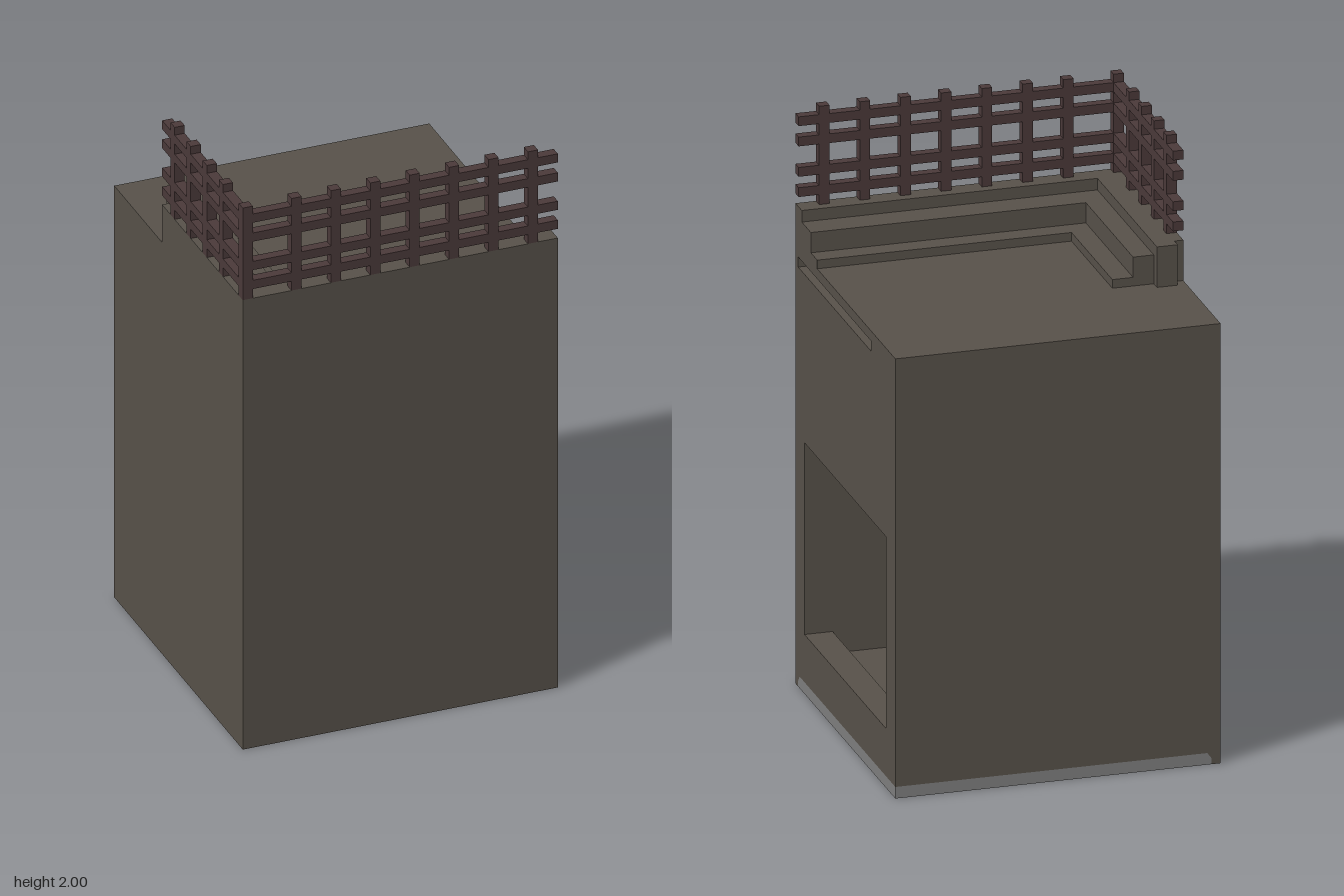
import * as THREE from 'three';

export function createModel() {
  const model = new THREE.Group();
  const stone = new THREE.MeshStandardMaterial({ color: 0x58524a, name: 'stone' });
  const wood = new THREE.MeshStandardMaterial({ color: 0x4b3a3a, name: 'darkWood' });
  const grey = new THREE.MeshStandardMaterial({ color: 0x808080, name: 'grey' });

  const add = (name, geo, mat, parent = model) => {
    const mesh = new THREE.Mesh(geo, mat);
    mesh.name = name;
    parent.add(mesh);
    return mesh;
  };
  // Box from its limits on each axis
  const box = (name, [x0, x1], [y0, y1], [z0, z1], mat = stone, parent = model) => {
    const geo = new THREE.BoxGeometry(x1 - x0, y1 - y0, z1 - z0);
    geo.translate((x0 + x1) / 2, (y0 + y1) / 2, (z0 + z1) / 2);
    return add(name, geo, mat, parent);
  };
  // Flat profile in x and y, extruded from z0 to z1
  const extrude = (points, z0, z1) => {
    const shape = new THREE.Shape(points.map(([x, y]) => new THREE.Vector2(x, y)));
    const geo = new THREE.ExtrudeGeometry(shape, { depth: z1 - z0, bevelEnabled: false });
    return geo.translate(0, 0, z0);
  };

  const H = 0.55; // half width
  const W = [-H, H];

  // Foundation plate, set in from the front and the right by a chamfered edge
  const lip = 0.52, lipTop = 0.505, lipY = 0.02, baseY = 0.04;
  box('foundationLower', [-lip, H], [0, lipY], [-H, lip], grey);
  const upper = box('foundationUpper', [-lip, H], [lipY, baseY], [-H, lip], grey);
  const p = upper.geometry.attributes.position;
  for (let i = 0; i < p.count; i++) {
    if (p.getY(i) < 0.03) continue;
    if (p.getX(i) < 0) p.setX(i, -lipTop);
    if (p.getZ(i) > 0) p.setZ(i, lipTop);
  }
  upper.geometry = upper.geometry.toNonIndexed();
  upper.geometry.computeVertexNormals();

  // Wall feet that cover the plate at the front and side
  const foot = [[H, 0], [lip, 0], [lip, lipY], [lipTop, baseY], [H, baseY]];
  add('frontWallFoot', extrude(foot, -H, H).rotateY(-Math.PI / 2), stone);
  add('sideWallFoot', extrude(foot.map(([x, y]) => [-x, y]), -H, H), stone);

  // Main block, with a stepped alcove open to +x
  const slotY = 1.45, slotTop = 1.485, roofY = 1.52;
  box('frontWall', W, [baseY, slotY], [0.45, H]);
  box('backWall', W, [baseY, slotY], [-H, -0.45]);
  const alcove = (back) => [
    [-H, baseY], [H, baseY], [H, 0.205], [0.455, 0.205], [0.455, 0.13],
    ...back,
    [0.14, 0.83], [0.21, 0.83], [0.21, 0.868], [H, 0.868], [H, slotY], [-H, slotY],
  ];
  add('shallowAlcove', extrude(alcove([[0.14, 0.13]]), 0.105, 0.45), stone);
  add('deepAlcove', extrude(alcove([[-0.35, 0.13], [-0.35, 0.8], [0.14, 0.8]]), -0.45, 0.105), stone);

  // Layer holding the long narrow slot, then the roof slab
  box('slotBack', [-H, 0.515], [slotY, slotTop], W);
  box('slotFrontEnd', [0.515, H], [slotY, slotTop], [0.52, H]);
  box('slotBackEnd', [0.515, H], [slotY, slotTop], [-H, -0.28]);
  box('roof', W, [slotTop, roofY], W);

  // Parapet and the two steps inside it, on the front and one side
  const end = -0.14;
  const steps = [
    ['parapet', 1.66, 0.48, -0.45, H],
    ['upperStep', 1.62, 0.38, -0.38, 0.48],
    ['lowerStep', 1.55, 0.31, -0.31, 0.38],
  ];
  const outerX = [-H, -0.45, -0.38];
  steps.forEach(([name, top, zIn, xIn, zOut], i) => {
    box(name + 'Front', [outerX[i], H], [roofY, top], [zIn, zOut]);
    box(name + 'Side', [outerX[i], xIn], [roofY, top], [end, zIn]);
  });
  box('parapetEnd', [-0.52, -0.45], [roofY, 1.66], [-0.175, end]);

  // Lattice fence on the parapet
  const fence = new THREE.Group();
  fence.name = 'fence';
  model.add(fence);
  const t = 0.035, bottom = 1.66, side = [-H, -H + t], front = [H - t, H];
  for (const y of [1.71, 1.78, 1.885, 1.955]) {
    box('frontRail', W, [y - 0.016, y + 0.016], front, wood, fence);
    box('sideRail', side, [y - 0.016, y + 0.016], [end, H], wood, fence);
  }
  box('cornerPost', side, [bottom, 2], front, wood, fence);
  for (let i = 0; i < 7; i++) {
    const x = -0.3625 + i * 0.1376;
    box('frontPost', [x - t / 2, x + t / 2], [bottom, 2], front, wood, fence);
    if (i < 4) box('sidePost', side, [bottom, 2], [-x - t / 2, -x + t / 2], wood, fence);
  }

  return model;
}
